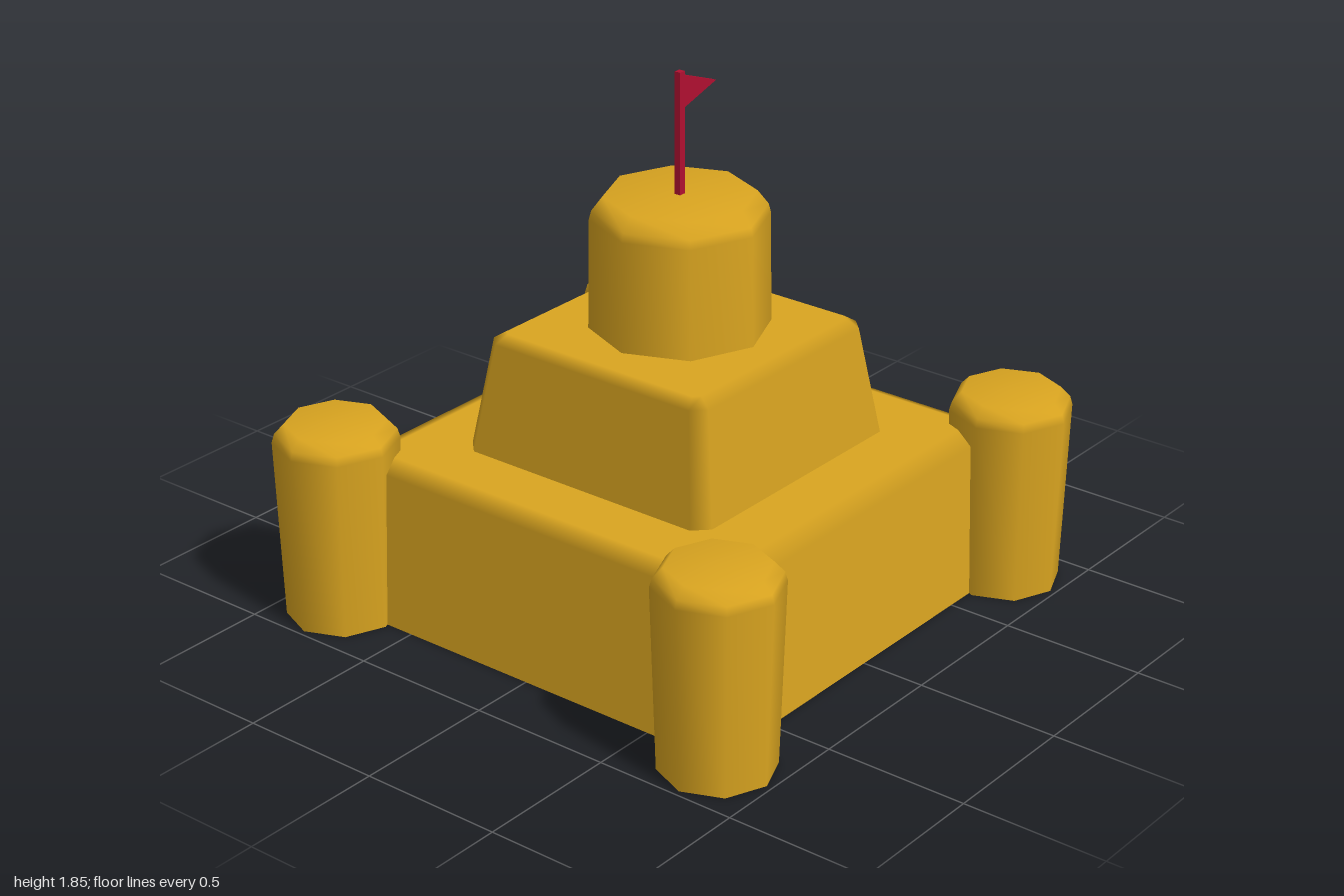
import * as THREE from 'three';

const sand = new THREE.MeshStandardMaterial({ color: 0xdaa520, side: THREE.DoubleSide });
sand.name = 'sand';
const red = new THREE.MeshStandardMaterial({ color: 0xb01030 });
red.name = 'flagRed';

function addMesh(parent, name, geometry, material, x = 0, y = 0, z = 0) {
  const mesh = new THREE.Mesh(geometry, material);
  mesh.name = name;
  mesh.position.set(x, y, z);
  parent.add(mesh);
  return mesh;
}

// Square block, open below, with cut corners and a softened top rim.
// Each ring is [half width, corner cut, height, faces up].
function blockGeometry(rings) {
  const positions = [], normals = [], index = [];
  for (const [h, c, y, up] of rings) {
    for (let side = 0; side < 4; side++) {
      const nx = Math.round(Math.sin(side * Math.PI / 2));
      const nz = Math.round(Math.cos(side * Math.PI / 2));
      for (const s of [-1, 1]) {
        const t = s * (h - c);
        positions.push(nx * h + nz * t, y, nz * h - nx * t);
        normals.push(up ? 0 : nx, up ? 1 : 0.06, up ? 0 : nz);
      }
    }
  }
  for (let r = 0; r < rings.length - 1; r++) {
    for (let i = 0; i < 8; i++) {
      const a = r * 8 + i, b = r * 8 + (i + 1) % 8;
      index.push(a, b, b + 8, a, b + 8, a + 8);
    }
  }
  // Flat lid
  const last = (rings.length - 1) * 8, centre = rings.length * 8;
  positions.push(0, rings[rings.length - 1][2], 0);
  normals.push(0, 1, 0);
  for (let i = 0; i < 8; i++) index.push(last + i, last + (i + 1) % 8, centre);

  const g = new THREE.BufferGeometry();
  g.setAttribute('position', new THREE.Float32BufferAttribute(positions, 3));
  g.setAttribute('normal', new THREE.Float32BufferAttribute(normals, 3));
  g.setIndex(index);
  g.normalizeNormals();
  return g;
}

// Eight-sided tower, open below, smooth all over
function towerGeometry(profile) {
  return new THREE.LatheGeometry(profile.map(([r, y]) => new THREE.Vector2(r, y)), 8);
}

export function createModel() {
  const castle = new THREE.Group();
  castle.name = 'sandCastle';

  // Two stacked blocks
  addMesh(castle, 'base', blockGeometry([
    [0.775, 0.06, 0, false], [0.765, 0.06, 0.55, false], [0.695, 0.03, 0.58, true],
  ]), sand);
  addMesh(castle, 'middleTier', blockGeometry([
    [0.503, 0.05, 0.56, false], [0.442, 0.045, 0.955, false], [0.4, 0.02, 0.983, true],
  ]), sand);

  // Corner towers
  const corner = towerGeometry([[0.19, 0], [0.209, 0.63], [0.2, 0.66], [0.168, 0.695], [0, 0.695]]);
  for (const x of [-1, 1]) {
    for (const z of [-1, 1]) {
      addMesh(castle, 'cornerTower', corner, sand, x * 0.79, 0, z * 0.79);
    }
  }

  // Keep on top
  addMesh(castle, 'keep', towerGeometry([
    [0.3, 0.96], [0.294, 1.36], [0.286, 1.39], [0.25, 1.437], [0, 1.437],
  ]), sand, 0.016);

  // Flag
  const flag = new THREE.Group();
  flag.name = 'flag';
  castle.add(flag);
  addMesh(flag, 'flagPole', new THREE.BoxGeometry(0.024, 0.45, 0.022), red, 0.014, 1.625, 0);
  const pennant = new THREE.Shape();
  pennant.moveTo(0.02, 1.725);
  pennant.lineTo(0.188, 1.775);
  pennant.lineTo(0.02, 1.838);
  pennant.closePath();
  addMesh(flag, 'pennant', new THREE.ExtrudeGeometry(pennant, { depth: 0.018, bevelEnabled: false }),
    red, 0, 0, -0.009);

  return castle;
}
